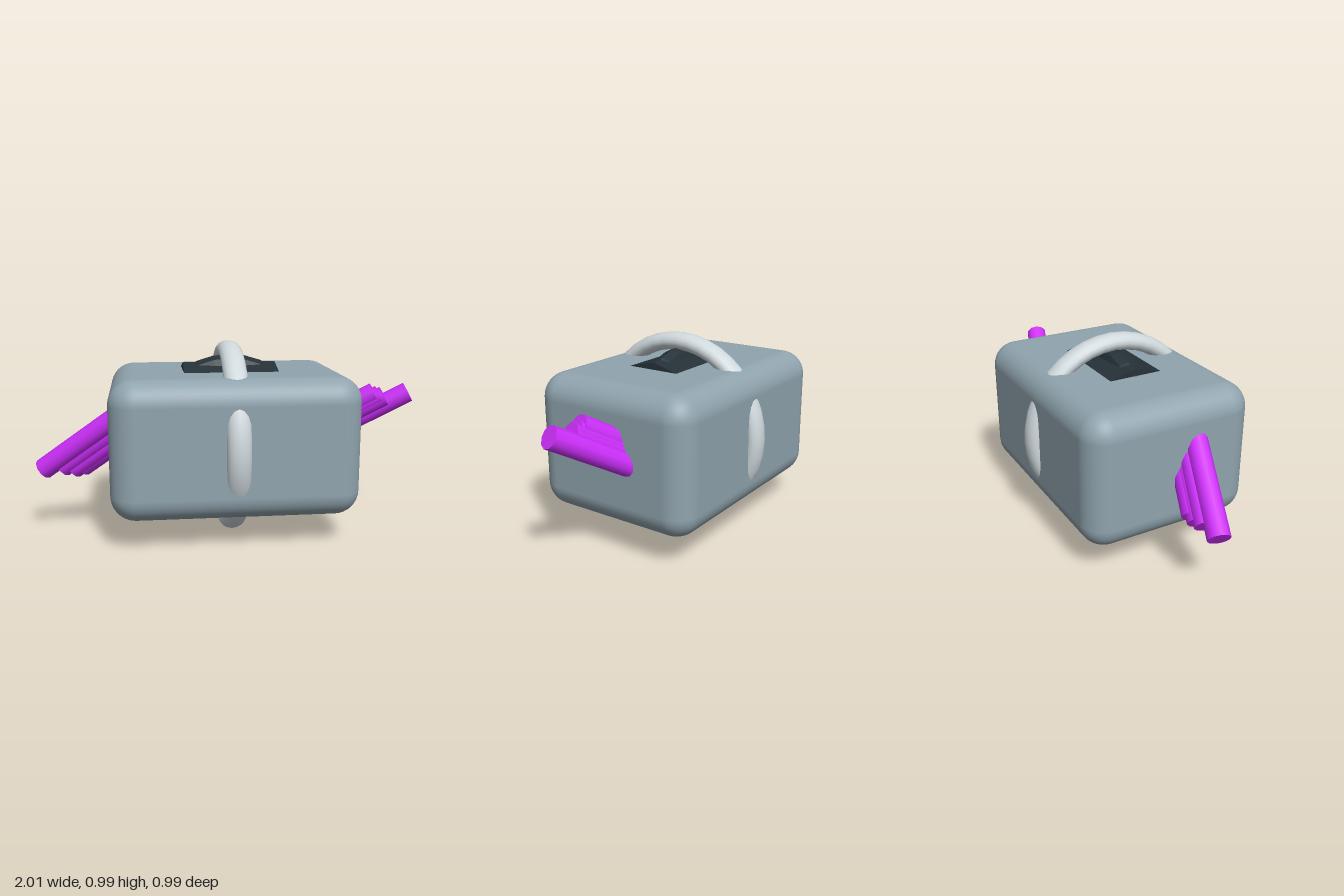
import * as THREE from 'three';
import { RoundedBoxGeometry } from 'three/addons/geometries/RoundedBoxGeometry.js';

const CENTRE_Y = 0.497;

const paint = (color, flatShading = false) => new THREE.MeshStandardMaterial({ color, flatShading });
const shell = paint(0x90a4ae);
const pale = paint(0xcfd8dc);
const dark = paint(0x263238, true);
const purple = paint(0xd030ff);

function addPart(parent, name, geometry, material) {
  const mesh = new THREE.Mesh(geometry, material);
  mesh.name = name;
  parent.add(mesh);
  return mesh;
}

// Parallel cables with staggered ends; tips are [x, y, z], slope is the run into the body per unit x
function cableBundle(name, tips, slope) {
  const bundle = new THREE.Group();
  bundle.name = name;
  for (const [x, y, z] of tips) {
    const tip = new THREE.Vector3(x, y, z);
    const run = Math.abs(x) - 0.5;
    const root = tip.clone().add(new THREE.Vector3(-Math.sign(x), slope[0], slope[1]).multiplyScalar(run));
    const axis = tip.clone().sub(root);
    const cable = addPart(bundle, 'cable', new THREE.CylinderGeometry(0.055, 0.055, axis.length(), 10), purple);
    cable.position.copy(root).addScaledVector(axis, 0.5);
    cable.quaternion.setFromUnitVectors(new THREE.Vector3(0, 1, 0), axis.normalize());
  }
  return bundle;
}

export function createModel() {
  const model = new THREE.Group();
  model.name = 'ringedBox';

  // Rounded casing
  const body = addPart(model, 'body', new RoundedBoxGeometry(1.234, 0.695, 0.89, 5, 0.125), shell);
  body.position.y = CENTRE_Y;

  // Large upright ring, slightly wider than it is deep
  const ring = addPart(model, 'outerRing', new THREE.TorusGeometry(0.45, 0.045, 16, 40), pale);
  ring.rotation.y = Math.PI / 2;
  ring.scale.z = 1.33;
  ring.position.y = CENTRE_Y;

  // Twelve-sided drum lying across the body, an edge at the top
  const drumGeometry = new THREE.CylinderGeometry(0.385, 0.385, 0.48, 12);
  drumGeometry.rotateZ(Math.PI / 2);
  const drum = addPart(model, 'drum', drumGeometry, dark);
  drum.position.y = CENTRE_Y;

  // Dark ring crossing the outer ring
  const band = addPart(model, 'crossRing', new THREE.TorusGeometry(0.365, 0.06, 8, 32), dark);
  band.position.y = CENTRE_Y;

  // Cable bundles, rising on the left and drooping on the right
  model.add(cableBundle('leftCables',
    [[0.97, 0.705, 0], [0.84, 0.685, 0], [0.815, 0.69, 0], [0.785, 0.705, 0]], [-0.59, -0.31]));
  model.add(cableBundle('rightCables',
    [[-0.97, 0.335, 0], [-0.87, 0.345, 0], [-0.815, 0.335, 0], [-0.77, 0.345, 0]], [0.75, 0.33]));

  return model;
}
